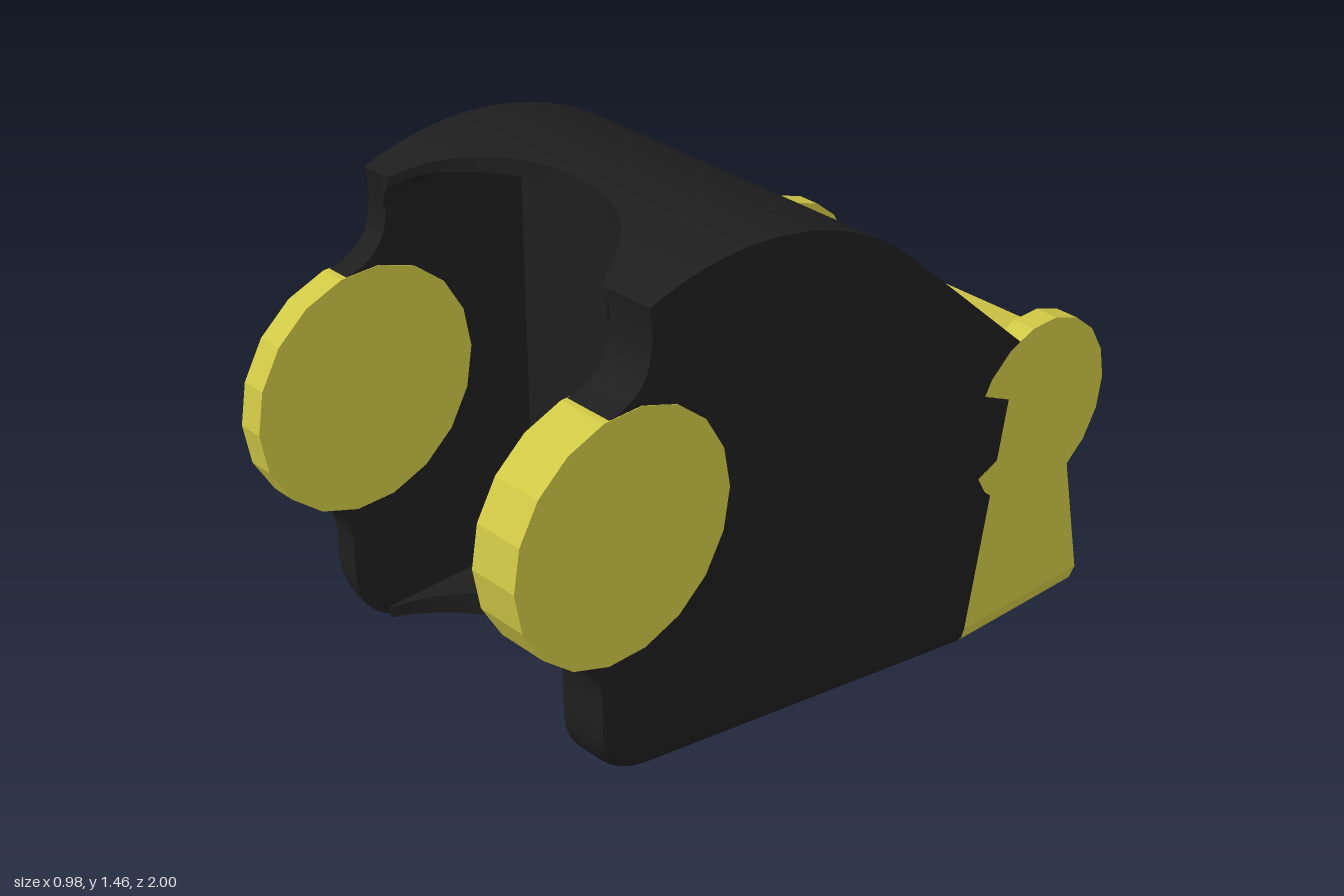
import * as THREE from 'three';
import { toCreasedNormals } from 'three/addons/utils/BufferGeometryUtils.js';

const W = 0.49, EDGE = 0.065;              // half width, bottom edge rounding
const INNER_R = -0.425, INNER_L = 0.355;   // inner faces of the two side walls
const CAVITY_BACK = 0.18;

const clamp = THREE.MathUtils.clamp;
const topY = z => 0.625 + Math.sqrt(0.7056 - (z - 0.33) ** 2);
const bottomY = z => Math.max(0, 0.2 - 0.1727 * (0.6 - z));

// Quarter-round drop-off, from 0 to r, as d runs from 0 to r
const round = (d, r) => r - Math.sqrt(r * r - clamp(d, 0, r) ** 2);

// Extrude a (z, y) outline across x and round its lower outer edges
function slab(shape, x0, x1, steps) {
  const g = new THREE.ExtrudeGeometry(shape, { depth: x1 - x0, steps, bevelEnabled: false, curveSegments: 14 });
  g.rotateY(-Math.PI / 2).translate(x1, 0, 0);
  const p = g.attributes.position;
  for (let i = 0; i < p.count; i++) {
    const y = p.getY(i);
    const weight = clamp(1 - (y - bottomY(p.getZ(i))) / 0.2, 0, 1);
    p.setY(i, y + weight * round(Math.abs(p.getX(i)) - (W - EDGE), EDGE));
  }
  return toCreasedNormals(g, 0.5);
}

// Upper edge of the body from the given z back to the rear
function traceTop(shape, z0) {
  for (let i = 0; i <= 24; i++) {
    const z = THREE.MathUtils.lerp(z0, -0.239, i / 24);
    shape.lineTo(z, topY(z));
  }
  shape.lineTo(-0.65, 0.87);
  shape.closePath();
  return shape;
}

function wallShape() {
  const s = new THREE.Shape();
  s.moveTo(-0.5, 0.01);
  s.lineTo(0.6, 0.2);
  s.bezierCurveTo(0.69, 0.215, 0.755, 0.28, 0.755, 0.38);
  s.lineTo(0.755, 0.46);
  s.quadraticCurveTo(0.75, 0.55, 0.82, 0.6);
  s.lineTo(0.75, 0.8);
  s.lineTo(0.72, 1.195);
  s.quadraticCurveTo(0.62, 1.21, 0.6, 1.29);
  s.quadraticCurveTo(0.585, 1.35, 0.6, 1.42);
  return traceTop(s, 0.6);
}

function coreShape() {
  const s = new THREE.Shape();
  s.moveTo(-0.5, 0.01);
  s.lineTo(CAVITY_BACK, bottomY(CAVITY_BACK));
  return traceTop(s, CAVITY_BACK);
}

// Lip over or under the cavity, its front scooped out by a circular arc
function lip(upper, lower, zMax) {
  const cols = 40, rows = 10, n = rows * 2 + 2, pos = [], idx = [];
  const cx = (INNER_R + INNER_L) / 2, r = (INNER_L - INNER_R) / 2;
  for (let i = 0; i <= cols; i++) {
    const x = cx - r * Math.cos(Math.PI * i / cols);
    const front = Math.min(zMax, 0.73 - Math.sqrt(Math.max(0, r * r - (x - cx) ** 2)));
    for (let j = 0; j < n; j++) {
      const t = j <= rows ? j / rows : (n - 1 - j) / rows;
      const z = THREE.MathUtils.lerp(CAVITY_BACK, front, t);
      pos.push(x, j <= rows ? upper(z, x) : lower(z, x), z);
    }
  }
  for (let i = 0; i < cols; i++) {
    for (let j = 0; j < n - 1; j++) {
      const a = i * n + j, b = a + n;
      idx.push(a, a + 1, b, b, a + 1, b + 1);
    }
  }
  const g = new THREE.BufferGeometry();
  g.setAttribute('position', new THREE.Float32BufferAttribute(pos, 3));
  g.setIndex(idx);
  return toCreasedNormals(g, 0.5);
}

// Faceted disc lying across x
function disc(radius, x0, x1, y, z) {
  const g = new THREE.CylinderGeometry(radius, radius, x1 - x0, 18);
  return g.rotateZ(Math.PI / 2).translate((x0 + x1) / 2, y, z);
}

export function createModel() {
  const model = new THREE.Group();
  model.name = 'model';
  const black = new THREE.MeshStandardMaterial({ color: 0x1e1e1e });
  const blackThin = new THREE.MeshStandardMaterial({ color: 0x1e1e1e, side: THREE.DoubleSide });
  const yellow = new THREE.MeshStandardMaterial({ color: 0xcfc745, flatShading: true });
  const add = (name, geometry, material) => {
    const mesh = new THREE.Mesh(geometry, material);
    mesh.name = name;
    model.add(mesh);
  };

  // Body: two side walls and the solid rear part between them
  add('rightWall', slab(wallShape(), -W, INNER_R, 8), black);
  add('leftWall', slab(wallShape(), INNER_L, W, 16), black);
  add('bodyCore', slab(coreShape(), INNER_R, INNER_L, 1), black);

  // Roof and floor of the front cavity
  const ceiling = (z, x) => {
    const fromSide = Math.min(x - INNER_R, INNER_L - x);
    return 1.42 - round(0.08 - fromSide, 0.08);
  };
  add('cavityRoof', lip(topY, ceiling, 0.6), blackThin);
  add('cavityFloor', lip(() => 0.24, bottomY, 0.66), blackThin);

  // Front discs, set through the side walls
  add('frontDiscRight', disc(0.32, -W - 0.002, INNER_R + 0.002, 0.88, 0.68), yellow);
  add('frontDiscLeft', disc(0.32, INNER_L - 0.002, W + 0.002, 0.88, 0.68), yellow);

  // Rear block with a tapered outline
  const block = new THREE.Shape();
  block.moveTo(-0.5, 0.01);
  block.lineTo(-0.65, 0.87);
  block.lineTo(-0.795, 0.84);
  block.lineTo(-0.95, 0);
  block.closePath();
  add('rearBlock', slab(block, -W, W, 60), yellow);

  // Rear discs on both ends of the block
  add('rearDiscRight', disc(0.255, -W, -W + EDGE, 0.635, -0.745), yellow);
  add('rearDiscLeft', disc(0.255, W - EDGE, W, 0.635, -0.745), yellow);

  return model;
}
